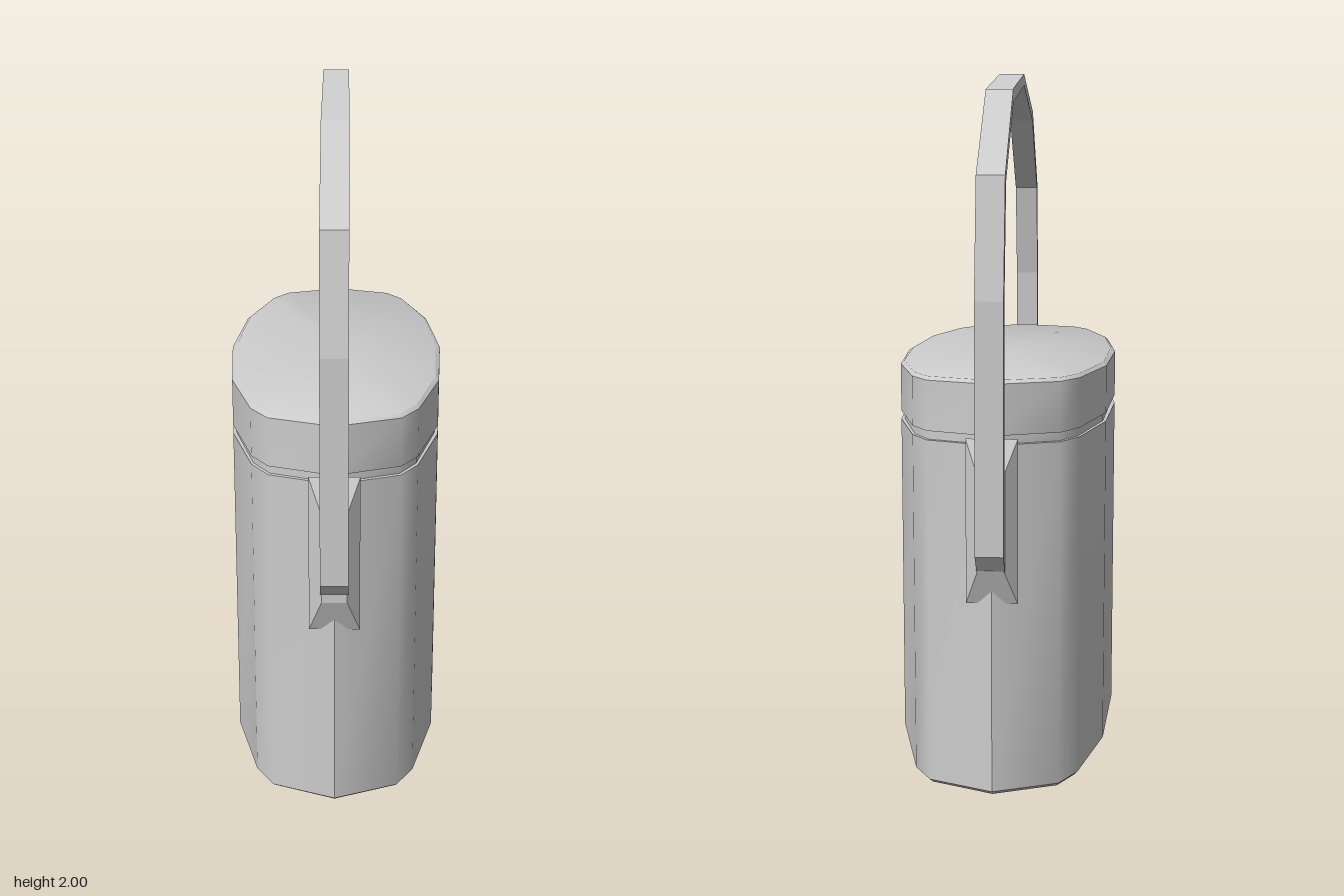
import * as THREE from 'three';
import { toCreasedNormals } from 'three/addons/utils/BufferGeometryUtils.js';

const material = new THREE.MeshStandardMaterial({ color: 0xcccccc });

// Quarter of the plan outline [x, z], mirrored into a full ring.
const quarter = [[0, 0.76], [0.18, 0.69], [0.23, 0.61], [0.3, 0.35]];
const half = [...quarter, [0.325, 0], ...quarter.slice(1).reverse().map(([x, z]) => [x, -z])];
const outline = [...half, ...half.map(([x, z]) => [-x, -z])];

// Closed solid from stacked outlines: each layer is [y, inset].
function stack(layers, adjust = () => 0) {
  const n = outline.length, pos = [], idx = [];
  layers.forEach(([y, inset], j) => {
    for (const [x, z] of outline) {
      const k = 1 - inset / Math.hypot(x, z);
      pos.push(x * k, y + adjust(x, z, j), z * k);
    }
  });
  const last = layers.length - 1;
  pos.push(0, layers[0][0], 0, 0, layers[last][0], 0);
  const bottom = n * layers.length, top = bottom + 1;
  for (let i = 0; i < n; i++) {
    const i2 = (i + 1) % n;
    for (let j = 0; j < last; j++) {
      const a = j * n + i, b = j * n + i2;
      idx.push(a, b, b + n, a, b + n, a + n);
    }
    idx.push(bottom, i2, i, top, last * n + i, last * n + i2);
  }
  const g = new THREE.BufferGeometry();
  g.setAttribute('position', new THREE.Float32BufferAttribute(pos, 3));
  g.setIndex(idx);
  return toCreasedNormals(g, 0.7);
}

// Tapered lug on an end wall: rectangular frustum pointing along +z.
function lugGeometry() {
  const g = new THREE.BoxGeometry(1, 1, 1), p = g.attributes.position;
  for (let i = 0; i < p.count; i++) {
    const outer = p.getZ(i) > 0, up = p.getY(i) > 0;
    const y = outer ? (up ? 0.91 : 0.65) : (up ? 1.0 : 0.55);
    p.setXYZ(i, Math.sign(p.getX(i)) * (outer ? 0.035 : 0.07), y, outer ? 0.785 : 0.745);
  }
  g.computeVertexNormals();
  return g;
}

// Faceted strap drawn in the z-y plane.
function handleGeometry() {
  const outer = [[0.78, 0.67], [0.83, 0.72], [0.82, 1.35], [0.76, 1.67], [0.47, 1.91], [0, 2],
    [-0.47, 1.925], [-0.76, 1.69], [-0.82, 1.37], [-0.83, 0.7], [-0.78, 0.645]];
  const inner = [[-0.78, 0.92], [-0.8, 0.92], [-0.79, 1.365], [-0.73, 1.675], [-0.455, 1.892], [0, 1.967],
    [0.455, 1.88], [0.73, 1.655], [0.79, 1.345], [0.8, 0.9], [0.78, 0.9]];
  const shape = new THREE.Shape([...outer, ...inner].map(([z, y]) => new THREE.Vector2(z, y)));
  const g = new THREE.ExtrudeGeometry(shape, { depth: 0.076, bevelEnabled: false });
  return g.rotateY(-Math.PI / 2).translate(0.038, 0, 0);
}

export function createModel() {
  const model = new THREE.Group();
  const add = (name, geometry) => {
    const mesh = new THREE.Mesh(geometry, material);
    mesh.name = name;
    model.add(mesh);
    return mesh;
  };

  // Container, with one slightly lifted spot on its lower rim
  const lift = (x, z, j) => (j < 2 && x > 0.25 && z < -0.3 && z > -0.4 ? 0.025 : 0);
  add('container', stack([[0.005, 0.02], [0.02, 0], [0.985, 0]], lift));

  // Recessed seam and lid
  add('seam', stack([[0.98, 0.013], [1.015, 0.013]]));
  add('lid', stack([[1.01, 0], [1.148, 0], [1.157, 0.014]]));

  // Handle mounts on both end walls
  add('frontHandleMount', lugGeometry());
  add('backHandleMount', lugGeometry()).rotation.y = Math.PI;

  add('handle', handleGeometry());
  return model;
}
